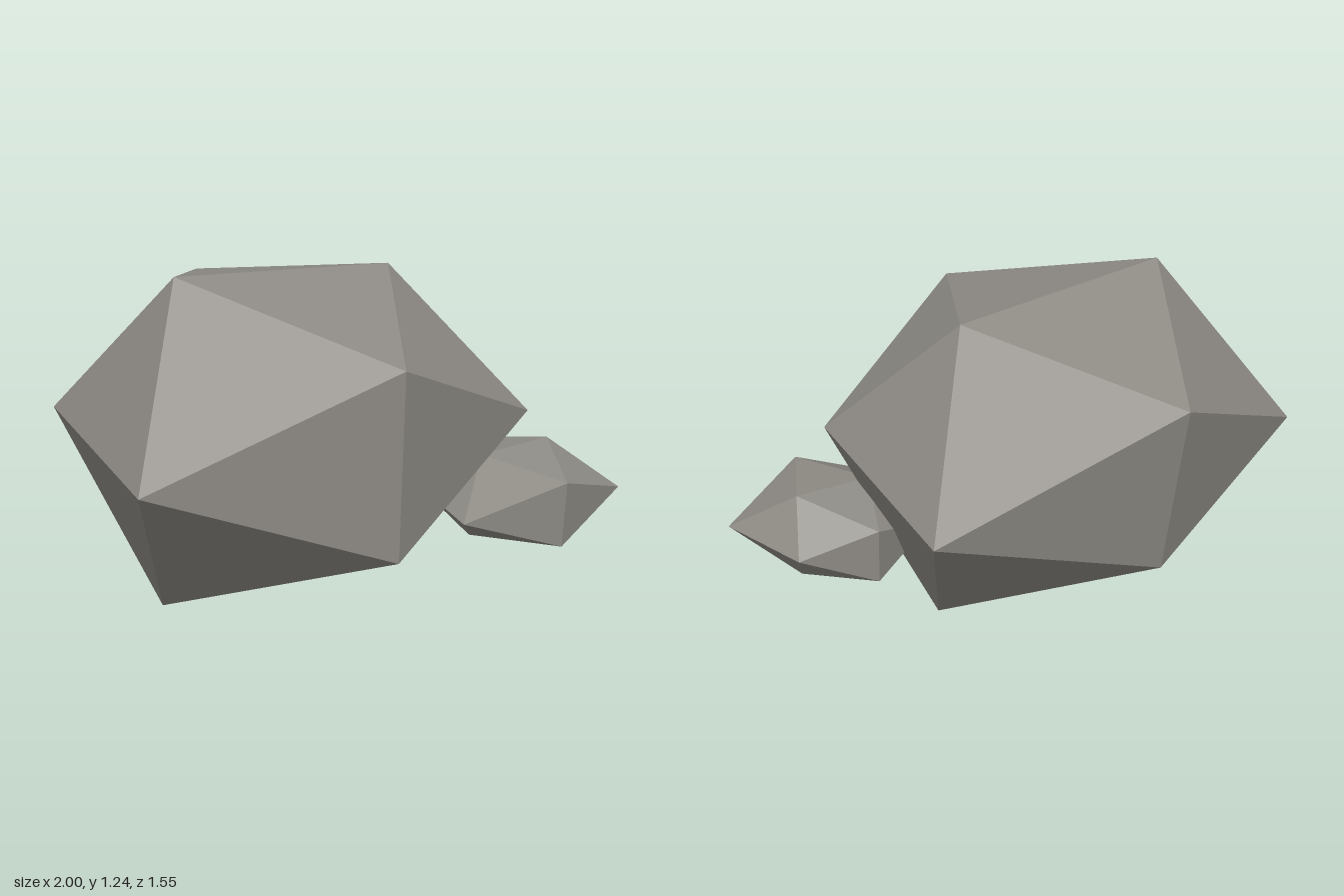
import * as THREE from 'three';

// Face layout of an icosahedron over the 12 corners listed per rock
const FACES = [
  0, 11, 5, 0, 5, 1, 0, 1, 7, 0, 7, 10, 0, 10, 11,
  1, 5, 9, 5, 11, 4, 11, 10, 2, 10, 7, 6, 7, 1, 8,
  3, 9, 4, 3, 4, 2, 3, 2, 6, 3, 6, 8, 3, 8, 9,
  4, 9, 5, 2, 4, 11, 6, 2, 10, 8, 6, 7, 9, 8, 1,
];

// Irregular twelve-cornered boulder with sharp facets
function makeRock(name, corners, material) {
  const indexed = new THREE.BufferGeometry();
  indexed.setAttribute('position', new THREE.Float32BufferAttribute(corners.flat(), 3));
  indexed.setIndex(FACES);
  const geometry = indexed.toNonIndexed();
  geometry.computeVertexNormals();
  const mesh = new THREE.Mesh(geometry, material);
  mesh.name = name;
  return mesh;
}

export function createModel() {
  const group = new THREE.Group();
  group.name = 'rocks';
  const stone = new THREE.MeshStandardMaterial({ color: 0x8f8c86, flatShading: true });
  stone.name = 'stone grey';

  group.add(makeRock('largeRock', [
    [-0.6, 1.24, 0.01], [0.285, 1.18, 0.01],                          // top ridge
    [-0.685, 0, 0.01], [0.41, 0.02, 0.01],                            // bottom ridge
    [-0.13, 0.33, 0.75], [-0.13, 1.03, 0.775],                        // front edge
    [-0.13, 0.365, -0.655], [-0.13, 1.04, -0.775],                    // back edge
    [0.745, 0.675, -0.535], [0.615, 0.675, 0.47],                     // left side
    [-0.89, 0.675, -0.46], [-1, 0.675, 0.545],                        // right side
  ], stone));

  group.add(makeRock('smallRock', [
    [0.5, 0.48, 0.345], [0.81, 0.495, 0.345],
    [0.455, 0.16, 0.345], [0.81, 0.155, 0.345],
    [0.637, 0.197, 0.68], [0.637, 0.455, 0.695],
    [0.637, 0.213, 0.05], [0.637, 0.433, 0.037],
    [0.9, 0.323, 0.175], [1, 0.323, 0.56],
    [0.34, 0.323, 0.16], [0.27, 0.323, 0.568],
  ], stone));

  return group;
}
